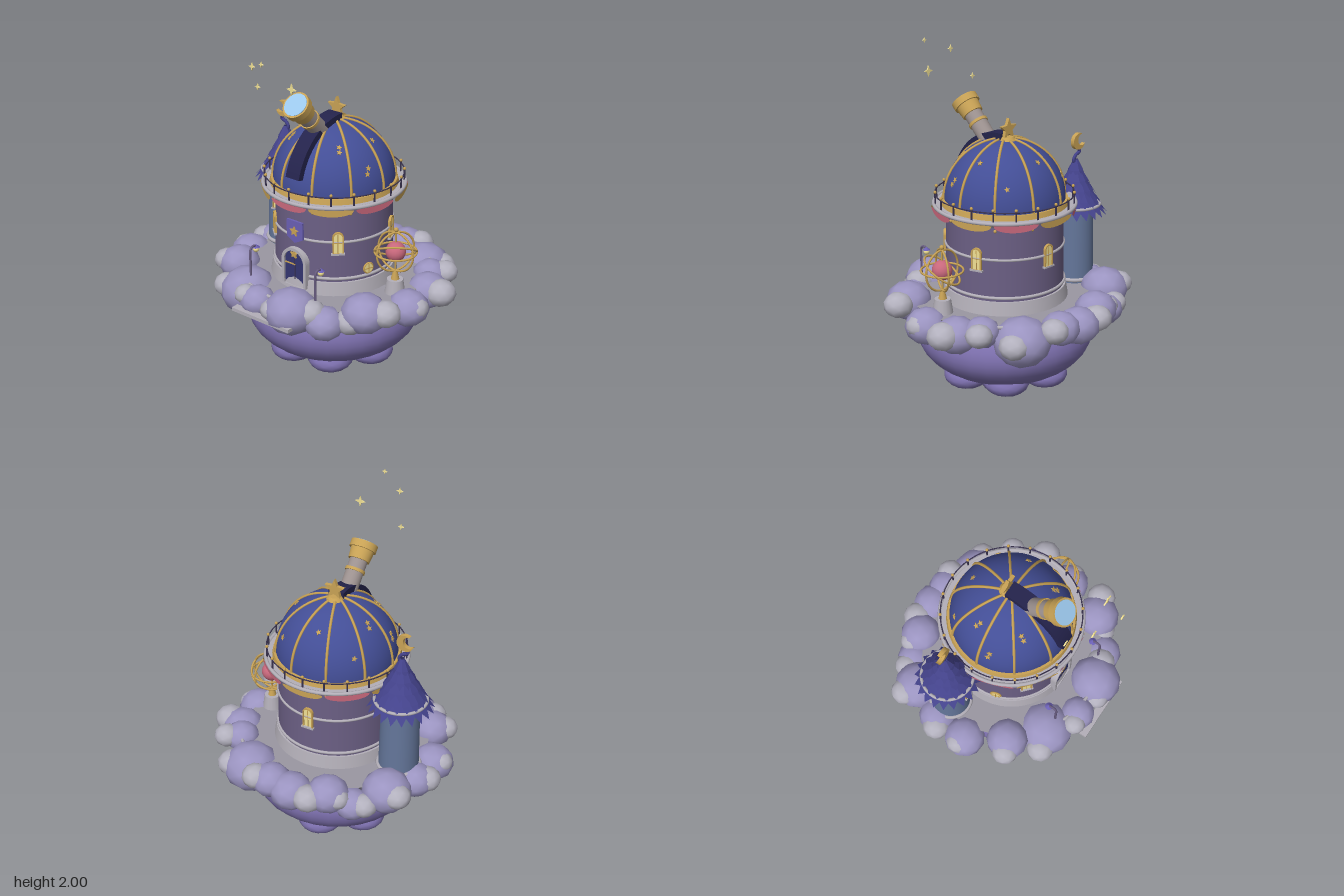
import * as THREE from 'three';

const COLORS = {
  cloud: 0x9c95c2, puff: 0xb4b2bf, under: 0x7d70ae, deck: 0x9a97a2, wall: 0x6b5f84, pale: 0xb3afb8, barrel: 0x9c918f,
  gold: 0xc8a255, dome: 0x434e96, slit: 0x24234c, turret: 0x64769a, tile: 0x44438c, pink: 0xc8687c,
  glow: 0xf0e094, door: 0x34356f, banner: 0x6a5fb4, lens: 0x9cc8ec, dark: 0x3a3350,
};
const mats = {};
function mat(name, opts = {}) {
  const key = name + JSON.stringify(opts);
  return (mats[key] ??= new THREE.MeshStandardMaterial({ color: COLORS[name], ...opts }));
}
const THIN = { side: THREE.DoubleSide };
const TAU = Math.PI * 2;
const deg = THREE.MathUtils.degToRad;

function add(parent, name, geo, color, pos = [0, 0, 0], opts) {
  const m = new THREE.Mesh(geo, mat(color, opts));
  m.name = name;
  m.position.set(...pos);
  parent.add(m);
  return m;
}
function group(parent, name, pos = [0, 0, 0], turn = 0) {
  const g = new THREE.Group();
  g.name = name;
  g.position.set(...pos);
  g.rotation.y = turn;
  parent.add(g);
  return g;
}
const cyl = (rt, rb, h, n = 32) => new THREE.CylinderGeometry(rt, rb, h, n);
const ball = (r, n = 12) => new THREE.SphereGeometry(r, n, Math.ceil(n * 0.7));
// Horizontal hoop, or part of one
function hoop(parent, name, r, tube, y, color, arc = TAU) {
  const m = add(parent, name, new THREE.TorusGeometry(r, tube, 8, 56, arc), color, [0, y, 0]);
  m.rotation.x = Math.PI / 2;
  return m;
}
function tube(parent, name, pts, r, color) {
  const curve = new THREE.CatmullRomCurve3(pts.map((p) => new THREE.Vector3(...p)));
  return add(parent, name, new THREE.TubeGeometry(curve, 20, r, 6), color);
}
function extrude(shape, depth) {
  return new THREE.ExtrudeGeometry(shape, { depth, bevelEnabled: false, curveSegments: 14 }).translate(0, 0, -depth / 2);
}
function star(points, r, inner, depth) {
  const s = [];
  for (let i = 0; i < points * 2; i++) {
    const a = (i * Math.PI) / points, d = i % 2 ? r * inner : r;
    s.push(new THREE.Vector2(Math.sin(a) * d, Math.cos(a) * d));
  }
  return extrude(new THREE.Shape(s), depth);
}
// Round-topped opening standing on y = 0
function arch(w, h, P = THREE.Shape) {
  const s = new P();
  s.moveTo(-w, 0);
  s.lineTo(w, 0);
  s.lineTo(w, h - w);
  s.absarc(0, h - w, w, 0, Math.PI, false);
  s.lineTo(-w, 0);
  return s;
}
function archFrame(w, h, t, depth) {
  const s = arch(w + t, h + t);
  s.holes.push(arch(w, h, THREE.Path));
  return extrude(s, depth);
}
function archWindow(parent, pos, turn) {
  const g = group(parent, 'archWindow', pos, turn);
  add(g, 'pane', extrude(arch(0.023, 0.115), 0.014), 'glow');
  add(g, 'frame', archFrame(0.023, 0.115, 0.008, 0.026), 'gold');
  add(g, 'mullion', new THREE.BoxGeometry(0.004, 0.11, 0.02), 'gold', [0, 0.055, 0]);
  add(g, 'crossbar', new THREE.BoxGeometry(0.046, 0.004, 0.02), 'gold', [0, 0.06, 0]);
  add(g, 'sill', new THREE.BoxGeometry(0.075, 0.01, 0.034), 'pale', [0, -0.005, 0]);
}

function buildCloud(root) {
  const g = group(root, 'cloudIsland');
  add(g, 'underside', ball(1, 32), 'under', [0, 0.4, 0]).scale.set(0.5, 0.27, 0.5);
  for (let i = 0; i < 7; i++) {
    const a = deg(137) + (i * TAU) / 7;
    const m = add(g, 'undersideLobe', new THREE.IcosahedronGeometry(1, 2), 'under', [Math.sin(a) * 0.28, 0.2, Math.cos(a) * 0.28]);
    m.scale.set(0.13, 0.075, 0.13);
  }
  add(g, 'bottomLobe', new THREE.IcosahedronGeometry(1, 2), 'under', [0, 0.135, 0]).scale.set(0.17, 0.135, 0.17);
  add(g, 'deck', cyl(0.53, 0.46, 0.1, 48), 'deck', [0, 0.575, 0]);
  hoop(g, 'frontRail', 0.53, 0.01, 0.645, 'pale', deg(24)).rotation.z = deg(89);
  hoop(g, 'backRail', 0.55, 0.01, 0.645, 'pale', deg(24)).rotation.z = deg(-47);
  // x, z, radius of each puff
  const big = [[-.01, -.55, .12], [-.21, -.5, .12], [-.34, -.46, .1], [-.48, -.33, .14], [-.56, -.14, .11], [-.58, .06, .12],
    [-.47, .28, .12], [-.28, .42, .16], [-.11, .53, .1], [.11, .51, .15], [.29, .45, .11], [.45, .31, .13], [.55, .05, .12],
    [.53, -.17, .12], [.46, -.29, .1], [.31, -.44, .16], [.12, -.54, .11]];
  const small = [[-.13, -.58, .085], [.2, -.57, .08], [.41, -.48, .085], [.53, -.34, .075], [.62, -.16, .09], [.6, .05, .075],
    [.56, .27, .085], [.4, .37, .085], [.22, .48, .085], [-.28, -.52, .065], [-.41, -.46, .075], [-.56, -.37, .08],
    [-.62, -.11, .08], [-.63, .05, .07], [-.54, .31, .075], [-.4, .46, .08], [-.18, .55, .065], [.03, .57, .07]];
  [[big, 'cloudPuff', 'cloud', 0.585], [small, 'smallPuff', 'puff', 0.6]].forEach(([list, name, color, y]) =>
    list.forEach(([x, z, r], i) => {
      const m = add(g, name, new THREE.IcosahedronGeometry(r, 1), color, [x, y + 0.03 * Math.sin(i * 2.4), z]);
      m.scale.y = 0.85;
      m.rotation.y = i * 1.3;
    }));
  add(g, 'frontStep', new THREE.BoxGeometry(0.4, 0.02, 0.045), 'pale', [0, 0.56, 0.622]);
}

function buildTower(root) {
  const g = group(root, 'mainTower');
  add(g, 'wall', cyl(0.325, 0.335, 0.52, 48), 'wall', [0, 0.89, 0]);
  add(g, 'plinth', cyl(0.345, 0.36, 0.09, 48), 'pale', [0, 0.655, 0]);
  hoop(g, 'lowerBand', 0.335, 0.009, 0.72, 'pale');
  hoop(g, 'middleBand', 0.33, 0.008, 0.937, 'pale');
  for (const a of [42, -42, 108, 180]) {
    archWindow(g, [Math.sin(deg(a)) * 0.328, 0.875, Math.cos(deg(a)) * 0.328], deg(a));
  }
  // Portholes
  for (const a of [72, -72]) {
    const p = group(g, 'porthole', [Math.sin(deg(a)) * 0.336, 0.76, Math.cos(deg(a)) * 0.336], deg(a));
    add(p, 'pane', cyl(0.026, 0.026, 0.012, 20), 'glow').rotation.x = Math.PI / 2;
    add(p, 'frame', new THREE.TorusGeometry(0.028, 0.006, 8, 24), 'gold');
    add(p, 'bars', new THREE.BoxGeometry(0.05, 0.005, 0.018), 'gold');
    add(p, 'bars', new THREE.BoxGeometry(0.005, 0.05, 0.018), 'gold');
  }
  // Door and shield banner
  const d = group(g, 'door', [0, 0.65, 0.335]);
  add(d, 'doorLeaf', extrude(arch(0.068, 0.21), 0.02), 'door');
  add(d, 'doorFrame', archFrame(0.068, 0.21, 0.017, 0.045), 'pale');
  add(d, 'doorStar', star(5, 0.026, 0.45, 0.012), 'gold', [0, 0.19, 0.016]);
  add(d, 'doorSeam', new THREE.BoxGeometry(0.005, 0.16, 0.025), 'dark', [0, 0.08, 0]);
  add(d, 'hinge', new THREE.BoxGeometry(0.07, 0.008, 0.026), 'gold', [-0.032, 0.125, 0]);
  const shield = new THREE.Shape([[-.055, .13], [-.055, .03], [0, 0], [.055, .03], [.055, .13]].map((p) => new THREE.Vector2(...p)));
  add(g, 'banner', extrude(shield, 0.012), 'banner', [0, 0.905, 0.338]);
  add(g, 'bannerStar', star(5, 0.03, 0.45, 0.012), 'gold', [0, 0.975, 0.346]);
  // Gallery with railing, studs and swags
  add(g, 'gallery', cyl(0.39, 0.345, 0.04, 56), 'pale', [0, 1.147, 0]);
  hoop(g, 'galleryLip', 0.393, 0.011, 1.163, 'pale');
  hoop(g, 'railing', 0.386, 0.0035, 1.222, 'dark');
  for (let i = 0; i < 20; i++) {
    const s = group(g, 'railBay', [0, 0, 0], (i * TAU) / 20);
    add(s, 'railPost', cyl(0.005, 0.005, 0.065, 6), 'dark', [0, 1.2, 0.386]);
    add(s, 'railKnob', ball(0.009, 8), 'gold', [0, 1.235, 0.386]);
    add(s, 'stud', ball(0.009, 8), 'gold', [0, 1.1, 0.328]);
  }
  const swag = new THREE.Shape();
  swag.absellipse(0, 0, 0.12, 0.043, Math.PI, TAU, false);
  for (let i = 0; i < 10; i++) {
    const s = group(g, 'swagBay', [0, 0, 0], (i * TAU) / 10);
    add(s, 'swag', new THREE.ShapeGeometry(swag, 16), i % 2 ? 'gold' : 'pink', [0, 1.156, 0.39], THIN);
  }
}

function buildDome(root) {
  const R = 0.337, g = group(root, 'dome', [0, 1.19, 0]);
  add(g, 'domeShell', new THREE.SphereGeometry(R, 48, 20, 0, TAU, 0, Math.PI / 2), 'dome', [0, 0, 0], THIN);
  add(g, 'domeCurb', cyl(0.35, 0.357, 0.03, 48), 'gold', [0, -0.01, 0]);
  for (let i = 0; i < 10; i++) {
    add(g, 'rib', new THREE.TorusGeometry(R + 0.002, 0.008, 6, 20, Math.PI / 2), 'gold').rotation.y = (i * TAU) / 10;
  }
  // Scattered inlaid stars
  const forward = new THREE.Vector3(0, 0, 1);
  for (let i = 0; i < 16; i++) {
    const a = deg(18 + i * 36 + 9 * Math.sin(i * 5)), e = deg(20 + ((i * 23) % 45));
    const p = new THREE.Vector3(Math.cos(e) * Math.cos(a), Math.sin(e), Math.cos(e) * Math.sin(a));
    const s = add(g, 'inlaidStar', star(5, 0.017, 0.45, 0.008), 'gold', p.clone().multiplyScalar(R).toArray());
    s.quaternion.setFromUnitVectors(forward, p);
  }
  // Curved shutter slot over the front
  const slot = new THREE.Shape();
  slot.absarc(0, 0, 0.37, deg(15), deg(92), false);
  slot.absarc(0, 0, 0.32, deg(92), deg(15), true);
  add(g, 'shutterSlot', extrude(slot, 0.09), 'slit').rotation.y = -Math.PI / 2;
  add(g, 'crown', cyl(0.035, 0.05, 0.02, 20), 'gold', [0, 0.34, -0.02]);
  add(g, 'finialStar', star(5, 0.06, 0.45, 0.02), 'gold', [0, 0.392, -0.025]);
  // Telescope along its own y axis
  const t = group(g, 'telescope', [0, 0.268, 0.09]);
  t.rotation.x = deg(45);
  add(t, 'barrel', cyl(0.05, 0.05, 0.28, 24), 'barrel', [0, 0.12, 0]);
  add(t, 'collar', cyl(0.056, 0.056, 0.016, 24), 'gold', [0, 0.165, 0]);
  add(t, 'hood', cyl(0.068, 0.06, 0.08, 24), 'gold', [0, 0.265, 0]);
  add(t, 'hoodRim', cyl(0.076, 0.076, 0.04, 24), 'gold', [0, 0.306, 0]);
  add(t, 'lens', cyl(0.066, 0.066, 0.01, 24), 'lens', [0, 0.324, 0]);
}

// Ring of pointed roof tiles
function tileRow(r0, y0, r1, y1, teeth) {
  const pos = [], point = (r, y, k) => [Math.sin((k * TAU) / teeth) * r, y, Math.cos((k * TAU) / teeth) * r];
  for (let i = 0; i < teeth; i++) {
    const a = point(r0, y0, i), b = point(r0, y0, i + 1);
    const c = point(r1 * 0.84, y1 + 0.035, i), d = point(r1 * 0.84, y1 + 0.035, i + 1), tip = point(r1, y1, i + 0.5);
    pos.push(...a, ...c, ...b, ...b, ...c, ...d, ...c, ...tip, ...d);
  }
  const geo = new THREE.BufferGeometry();
  geo.setAttribute('position', new THREE.Float32BufferAttribute(pos, 3));
  geo.computeVertexNormals();
  return geo;
}

function buildTurret(root) {
  const g = group(root, 'sideTurret', [-0.45, 0, -0.12]);
  add(g, 'turretWall', cyl(0.105, 0.113, 0.5, 28), 'turret', [0, 0.83, 0]);
  hoop(g, 'turretFoot', 0.115, 0.012, 0.645, 'pale');
  archWindow(g, [0.02, 0.865, 0.104], deg(11));
  hoop(g, 'eaveRing', 0.142, 0.009, 1.08, 'pale');
  add(g, 'roofCore', new THREE.ConeGeometry(0.11, 0.27, 20), 'tile', [0, 1.2, 0]);
  for (let i = 0; i < 5; i++) {
    const row = tileRow(0.1 - i * 0.022, 1.12 + i * 0.055, 0.185 - i * 0.033, 1.025 + i * 0.055, 20 - i * 3);
    add(g, 'tileRow', row, 'tile', [0, 0, 0], { ...THIN, flatShading: true }).rotation.y = i * 0.3;
  }
  tube(g, 'bentTip', [[0, 1.3, 0], [0.018, 1.34, 0], [0, 1.365, 0], [-0.03, 1.38, 0], [-0.02, 1.4, 0]], 0.01, 'tile');
  const moon = new THREE.Shape();
  moon.absarc(0, 0, 0.048, deg(-140), deg(140), false);
  moon.absarc(-0.023, 0, 0.0336, deg(113), deg(-113), true);
  add(g, 'crescent', extrude(moon, 0.024), 'gold', [-0.016, 1.442, 0]).rotation.z = deg(-20);
}

function buildArmillary(root) {
  const g = group(root, 'armillarySphere', [0.447, 0, 0.03]);
  add(g, 'pedestal', cyl(0.045, 0.06, 0.1, 16), 'pale', [0, 0.655, 0]);
  add(g, 'stem', cyl(0.01, 0.025, 0.06, 12), 'gold', [0, 0.73, 0]);
  add(g, 'axisRod', cyl(0.005, 0.005, 0.26, 8), 'gold', [0, 0.87, 0]);
  add(g, 'axisKnob', ball(0.013), 'gold', [0, 1.0, 0]);
  add(g, 'globe', ball(0.056, 20), 'pink', [0, 0.87, 0]);
  for (const [x, y, z] of [[0, 0, 0], [0, 65, 0], [90, 0, 0], [60, 20, 0]]) {
    add(g, 'ring', new THREE.TorusGeometry(0.115, 0.006, 8, 40), 'gold', [0, 0.87, 0]).rotation.set(deg(x), deg(y), deg(z));
  }
}

export function createModel() {
  const root = new THREE.Group();
  root.name = 'cloudObservatory';
  [buildCloud, buildTower, buildDome, buildTurret, buildArmillary].forEach((build) => build(root));
  // Lantern posts beside the path
  for (const side of [-1, 1]) {
    const l = group(root, 'lantern', [side * 0.23, 0, 0.45]);
    tube(l, 'lanternPost', [[0, 0.61, 0], [0, 0.74, 0], [0, 0.835, -0.003], [0, 0.848, -0.025], [0, 0.84, -0.045]], 0.007, 'wall');
    add(l, 'lamp', ball(0.018), 'glow', [0, 0.822, -0.047]);
    add(l, 'lampCap', new THREE.ConeGeometry(0.022, 0.018, 12), 'banner', [0, 0.841, -0.047]);
  }
  // Floating sparkles
  for (const [x, y, z, r] of [[0.03, 1.985, 0.61, 0.015], [-0.1, 1.93, 0.535, 0.021], [0.115, 1.84, 0.485, 0.031], [-0.165, 1.78, 0.425, 0.018]]) {
    add(root, 'sparkle', star(4, r, 0.36, 0.007), 'glow', [x, y, z]);
  }
  return root;
}
